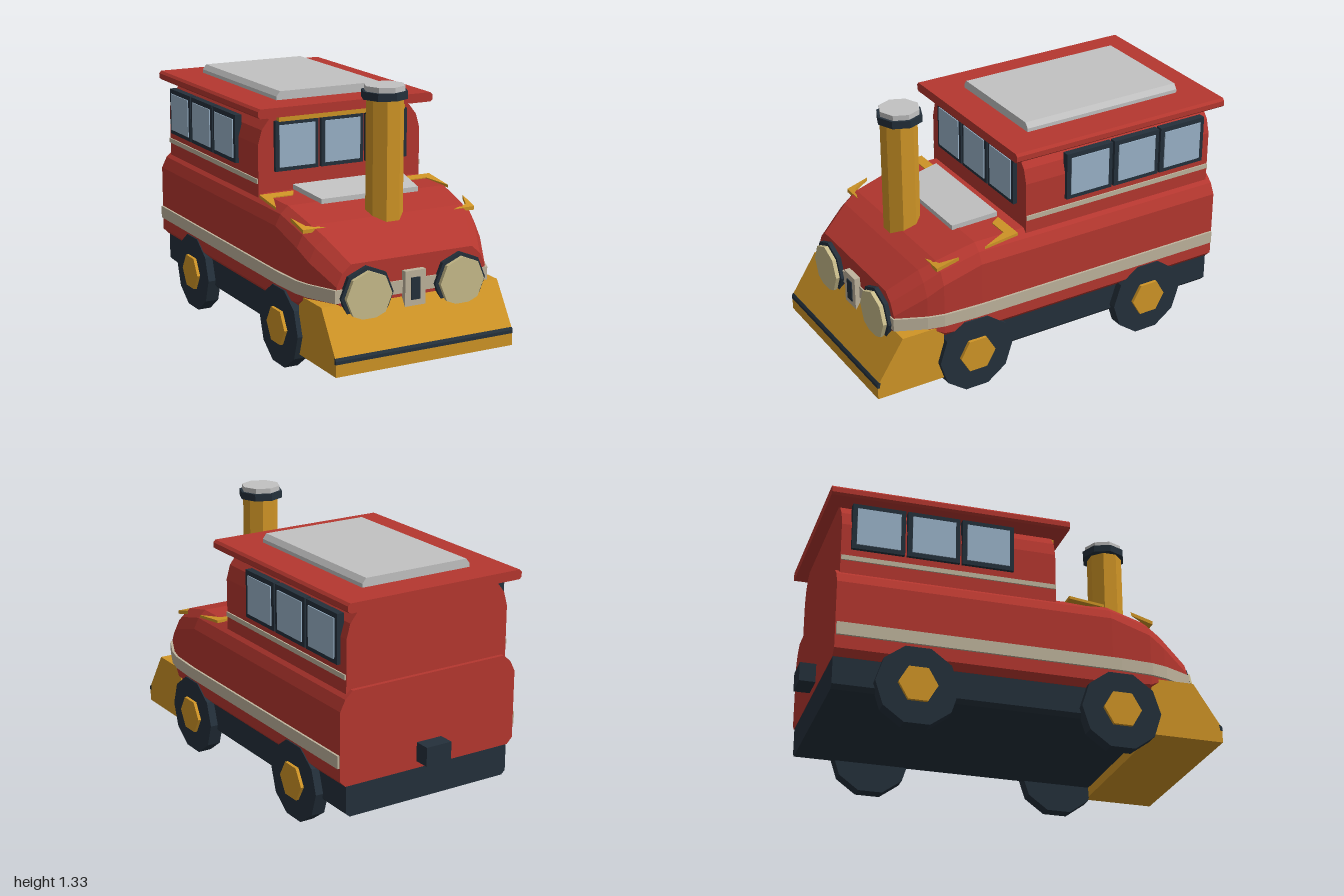
import * as THREE from 'three';

const mat = (name, color) => {
  const m = new THREE.MeshStandardMaterial({ color });
  m.name = name;
  return m;
};

export function createModel() {
  const model = new THREE.Group();
  const red = mat('red', 0xb5372f), gold = mat('gold', 0xd09526), dark = mat('dark navy', 0x24303b);
  const cream = mat('cream', 0xbfb49d), lamp = mat('lamp yellow', 0xc9bc8b);
  const glass = mat('window blue', 0x9ab3c9), grey = mat('light grey', 0xc2c2c2);

  const add = (name, geo, material, x = 0, y = 0, z = 0) => {
    const g = geo.index ? geo.toNonIndexed() : geo;
    g.computeVertexNormals();
    const mesh = new THREE.Mesh(g, material);
    mesh.name = name;
    mesh.position.set(x, y, z);
    model.add(mesh);
    return mesh;
  };
  const box = (name, material, x0, x1, y0, y1, z0, z1) =>
    add(name, new THREE.BoxGeometry(x1 - x0, y1 - y0, z1 - z0), material, (x0 + x1) / 2, (y0 + y1) / 2, (z0 + z1) / 2);

  // closed symmetric ring from its right half, listed bottom to top
  const ring = (half) => [...half, ...half.map(([x, y]) => [-x, y]).reverse()];

  // skin over rings [z, ring], ordered back to front, with end caps
  const loft = (sections) => {
    const pos = [];
    const tri = (...pts) => pts.forEach((p) => pos.push(...p));
    const rings = sections.map(([z, r]) => r.map(([x, y]) => [x, y, z]));
    const n = rings[0].length;
    for (let i = 0; i < rings.length - 1; i++) {
      for (let j = 0; j < n; j++) {
        const k = (j + 1) % n, a = rings[i], b = rings[i + 1];
        tri(a[j], a[k], b[k]);
        tri(a[j], b[k], b[j]);
      }
    }
    const back = rings[0], front = rings[rings.length - 1];
    for (let j = 1; j < n - 1; j++) {
      tri(front[0], front[j], front[j + 1]);
      tri(back[0], back[j + 1], back[j]);
    }
    const g = new THREE.BufferGeometry();
    g.setAttribute('position', new THREE.Float32BufferAttribute(pos, 3));
    return g;
  };
  const prism = (half, z0, z1) => loft([[z0, ring(half)], [z1, ring(half)]]);

  const extrude = (pts, depth) =>
    new THREE.ExtrudeGeometry(new THREE.Shape(pts.map(([x, y]) => new THREE.Vector2(x, y))), { depth, bevelEnabled: false });
  // plate drawn from above in (x, z), tilted along z by a slope
  const plate = (pts, y0, thick, slope = 0, zRef = 0) => {
    const g = extrude(pts.map(([x, z]) => [x, -z]), thick).rotateX(-Math.PI / 2);
    const p = g.attributes.position;
    for (let i = 0; i < p.count; i++) p.setY(i, p.getY(i) + y0 + slope * (p.getZ(i) - zRef));
    return g;
  };

  // boiler body with rounded shoulders and a sloping nose
  const bodyRing = (w, bottom, top, s) => ring([
    [w - 0.03, bottom], [w, bottom + 0.03], [w, top - s], [w - 0.3 * s, top - 0.4 * s], [w - 0.75 * s, top],
  ]);
  add('body', loft([
    [-0.92, bodyRing(0.495, 0.3, 0.76, 0.09)],
    [0.44, bodyRing(0.495, 0.3, 0.76, 0.09)],
    [0.64, bodyRing(0.485, 0.32, 0.71, 0.1)],
    [0.72, bodyRing(0.465, 0.36, 0.67, 0.11)],
    [0.865, bodyRing(0.4, 0.37, 0.57, 0.1)],
  ]), red);
  const beltHalf = [[0.506, -0.915], [0.506, 0.48], [0.496, 0.645], [0.476, 0.725], [0.41, 0.872]];
  add('bodyStripe', plate(ring(beltHalf), 0.395, 0.063), cream);

  // underframe and rear coupler
  add('chassis', prism([[0.44, 0.145], [0.46, 0.165], [0.46, 0.31]], -0.918, 0.66), dark);
  box('rearCoupler', dark, -0.07, 0.07, 0.335, 0.43, -1, -0.9);

  // plow
  const plow = extrude([[0.64, 0.095], [1, 0.095], [1, 0.17], [0.86, 0.385], [0.64, 0.385]], 0.95);
  add('plow', plow.translate(0, 0, -0.475).rotateY(-Math.PI / 2), gold);
  const trim = extrude([[0.99, 0.155], [1.002, 0.155], [1.002, 0.171], [0.994, 0.183], [0.985, 0.183]], 0.952);
  add('plowStripe', trim.translate(0, 0, -0.476).rotateY(-Math.PI / 2), dark);

  // wheels
  for (const side of [-1, 1]) {
    for (const z of [0.475, -0.525]) {
      const tyre = new THREE.CylinderGeometry(0.2, 0.2, 0.07, 10).rotateZ(Math.PI / 2);
      add('wheel', tyre, dark, side * 0.465, 0.19, z);
      const hub = new THREE.CylinderGeometry(0.095, 0.095, 0.06, 6).rotateZ(Math.PI / 2);
      add('wheelHub', hub, gold, side * 0.486, 0.192, z);
    }
  }

  // cab, roof and roof panel
  add('cab', prism([[0.45, 0.74], [0.45, 1.0], [0.43, 1.07], [0.39, 1.12], [0.34, 1.15]], -0.9, 0.17), red);
  add('roof', prism([[0.47, 1.14], [0.482, 1.15], [0.482, 1.175], [0.47, 1.187]], -0.96, 0.24), red);
  add('roofPanel', prism([[0.3, 1.18], [0.3, 1.205], [0.28, 1.23]], -0.8, 0.07), grey);
  box('cabBrow', gold, -0.35, 0.35, 1.108, 1.142, 0.16, 0.197);
  for (const side of [-1, 1]) {
    box('cabStripe', cream, side * 0.452 - 0.005, side * 0.452 + 0.005, 0.808, 0.832, -0.898, 0.168);
  }

  // side windows
  for (const z of [-0.178, -0.45, -0.722]) {
    for (const side of [-1, 1]) {
      const x = side * 0.45;
      box('sideWindowFrame', dark, x - 0.018, x + 0.018, 0.868, 1.108, z - 0.13, z + 0.13);
      box('sideWindowGlass', glass, x + side * 0.019 - 0.004, x + side * 0.019 + 0.004, 0.89, 1.084, z - 0.107, z + 0.107);
    }
  }
  // front windows
  for (const x of [-0.249, 0, 0.249]) {
    box('frontWindowFrame', dark, x - 0.117, x + 0.117, 0.862, 1.11, 0.165, 0.19);
    box('frontWindowGlass', glass, x - 0.097, x + 0.097, 0.882, 1.09, 0.187, 0.195);
  }

  // hood panel and corner brackets
  add('hoodPanel', plate([[-0.3, 0.24], [0.3, 0.24], [0.265, 0.47], [-0.265, 0.47]], 0.782, 0.024, -0.12, 0.24), grey);
  for (const side of [-1, 1]) {
    const flip = (pts) => pts.map(([x, z]) => [x * side, z]);
    const rear = flip([[0.29, 0.23], [0.475, 0.23], [0.475, 0.41], [0.425, 0.28], [0.32, 0.28]]);
    add('rearHoodBracket', plate(rear, 0.757, 0.014, -0.12, 0.23), gold);
    const front = flip([[0.35, 0.665], [0.465, 0.665], [0.47, 0.55], [0.435, 0.635]]);
    add('frontHoodBracket', plate(front, 0.708, 0.018, -0.27, 0.57), gold);
  }

  // chimney
  const pipe = new THREE.CylinderGeometry(0.09, 0.09, 0.59, 8).rotateY(Math.PI / 8);
  add('chimney', pipe, gold, 0, 0.975, 0.6);
  add('chimneyCollar', new THREE.CylinderGeometry(0.113, 0.113, 0.037, 8), dark, 0, 1.281, 0.595);
  add('chimneyCap', new THREE.CylinderGeometry(0.1, 0.1, 0.03, 8), grey, 0, 1.31, 0.595);

  // headlights
  const disc = (r, depth) => new THREE.CylinderGeometry(r, r, depth, 8).rotateX(Math.PI / 2);
  for (const x of [-0.25, 0.25]) {
    add('headlightRim', disc(0.138, 0.05), dark, x, 0.418, 0.862);
    add('headlightLens', disc(0.12, 0.03), lamp, x, 0.418, 0.892);
  }

  // front plate between the headlights
  box('nosePlate', cream, -0.055, 0.055, 0.335, 0.505, 0.86, 0.895);
  box('nosePlateSlot', dark, -0.024, 0.024, 0.365, 0.472, 0.892, 0.9);

  return model;
}
